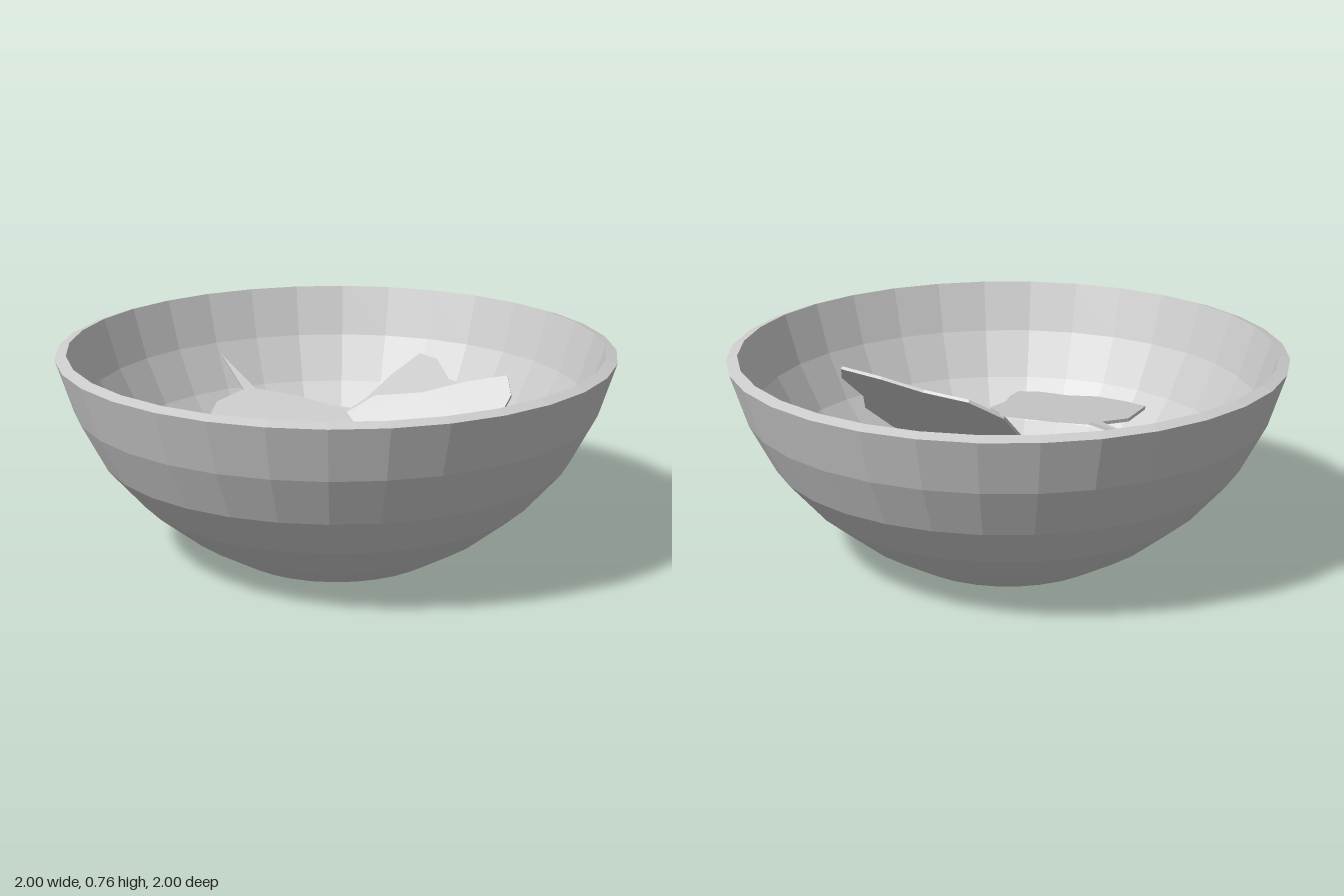
import * as THREE from 'three';

const material = new THREE.MeshStandardMaterial({ color: 0xcccccc, flatShading: true });

// Faceted bowl: up the outside, over the rim, down the inside
function makeBowl() {
  const profile = [
    [0, 0], [0.39, 0], [0.56, 0.1], [0.72, 0.23], [0.85, 0.38], [0.94, 0.555], [1, 0.745],
    [0.96, 0.758], [0.9, 0.57], [0.81, 0.4], [0.69, 0.255], [0.53, 0.13], [0.37, 0.035], [0, 0.035],
  ].map(([r, y]) => new THREE.Vector2(r, y));
  const bowl = new THREE.Mesh(new THREE.LatheGeometry(profile, 32), material);
  bowl.name = 'bowl';
  return bowl;
}

// Thin leaf blade with a pointed stem; the stem joins at the origin and the tip lies along +x
const TIP = 0.857;
function makeLeafGeometry() {
  const outline = [
    [-0.314, 0], [0, -0.022], [0.057, -0.146], [0.342, -0.328], [0.498, -0.303], [0.64, -0.25],
    [0.695, -0.149], [0.82, -0.077], [TIP, 0], [0.725, 0.08], [0.578, 0.146], [0.436, 0.252],
    [0.288, 0.262], [0.11, 0.13], [0.01, 0.02],
  ].map(([u, v]) => new THREE.Vector2(u, v));
  const depth = 0.012;
  return new THREE.ExtrudeGeometry(new THREE.Shape(outline), { depth, bevelEnabled: false })
    .translate(0, 0, -depth / 2);
}

// Each leaf: position of its tip, direction along the blade, direction across it
const leaves = [
  { name: 'frontLeaf', tip: [0.25, 0.395, 0.56], along: [0.72, -0.17, 0.69], across: [0.69, 0.072, -0.72] },
  { name: 'leftBackLeaf', tip: [-0.57, 0.305, -0.475], along: [-0.73, -0.015, -0.68], across: [-0.68, -0.22, 0.73] },
  { name: 'backLeaf', tip: [0, 0.525, -0.82], along: [-0.142, 0.4, -0.96], across: [-0.98, -0.05, 0.26] },
  { name: 'sideLeaf', tip: [0.58, 0.655, -0.2], along: [0.638, 0.5, -0.568], across: [-0.756, 0.46, -0.449] },
];

export function createModel() {
  const model = new THREE.Group();
  model.name = 'bowlOfLeaves';
  model.add(makeBowl());

  const geometry = makeLeafGeometry();
  for (const { name, tip, along, across } of leaves) {
    const u = new THREE.Vector3(...along);
    const v = new THREE.Vector3(...across);
    const n = new THREE.Vector3().crossVectors(u, v).normalize();
    const stemJoint = new THREE.Vector3(...tip).addScaledVector(u, -TIP);
    const placed = geometry.clone()
      .applyMatrix4(new THREE.Matrix4().makeBasis(u, v, n).setPosition(stemJoint));
    const leaf = new THREE.Mesh(placed, material);
    leaf.name = name;
    model.add(leaf);
  }
  return model;
}
